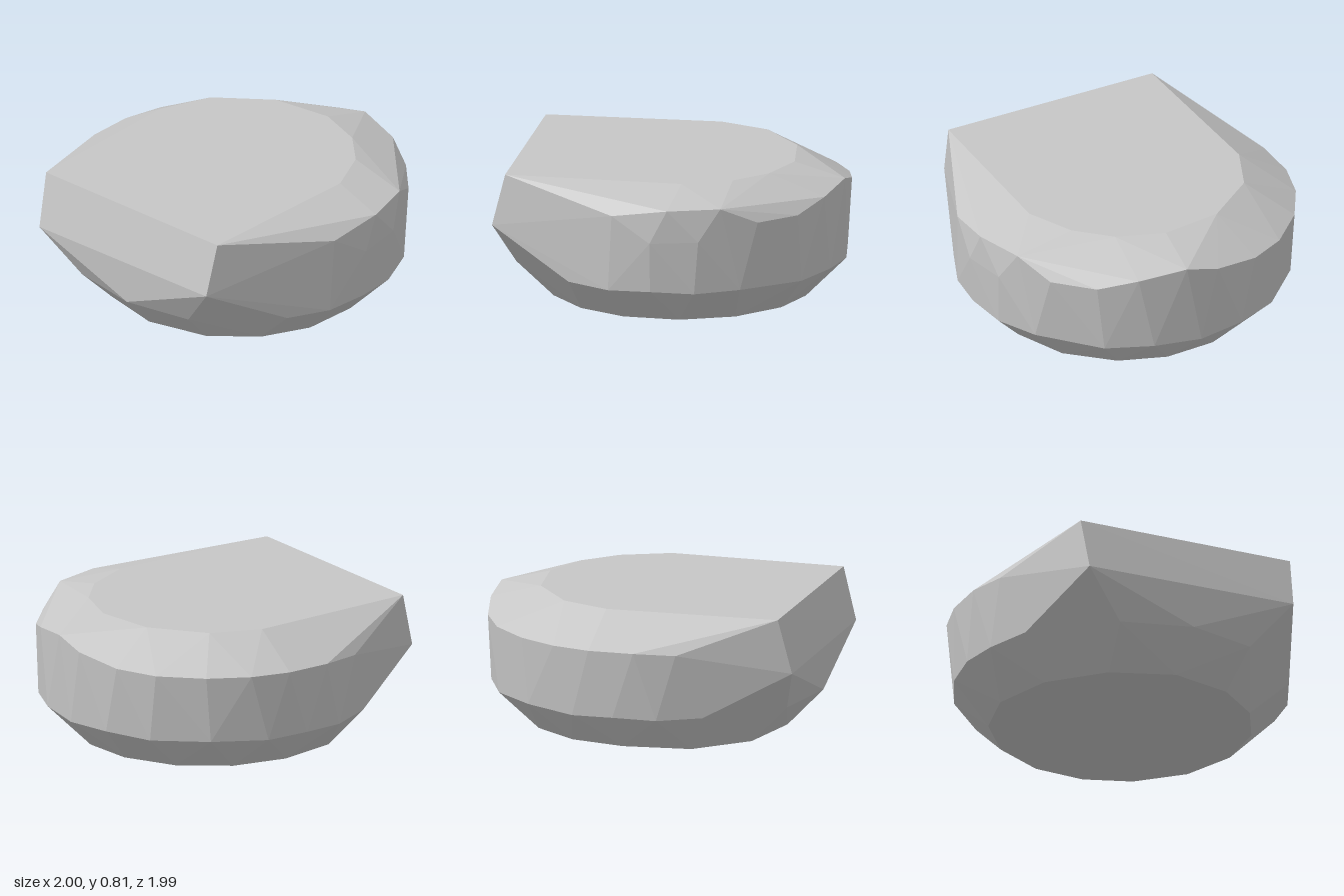
import * as THREE from 'three';
import { ConvexGeometry } from 'three/addons/geometries/ConvexGeometry.js';

// Horizontal ring of points; angles in degrees from the front, toward +x
function ring(angles, radius, height) {
  return angles.map((deg, i) => {
    const a = THREE.MathUtils.degToRad(deg);
    return new THREE.Vector3(Math.sin(a) * radius, height(i), Math.cos(a) * radius);
  });
}

export function createModel() {
  const group = new THREE.Group();
  group.name = 'rock';
  const stone = new THREE.MeshStandardMaterial({ color: 0xc6c6c6 });
  stone.name = 'light stone grey';

  // Underside and the widest ring above it
  const base = ring([0, 28, 52, 75, 100, 125, 150, 172, 195, 220, 245, 270, 300, 330],
    0.768, (i) => (i > 11 ? 0 : 0.015));
  const belt = ring([1, 25, 59, 75, 90, 105, 121, 146, 163, 180, 197, 214, 235, 255, 270, 285, 301, 335],
    0.98, (i) => (i % 2 ? 0.225 : 0.235));

  // Uneven shoulder, from the left front round the back to the right front
  const shoulder = [
    [0.96, 0.675, 0.23], [1, 0.53, 0], [0.985, 0.725, -0.1], [0.96, 0.54, -0.28],
    [0.9, 0.73, -0.4], [0.79, 0.63, -0.6], [0.59, 0.63, -0.8], [0.38, 0.69, -0.92],
    [0.1, 0.73, -0.99], [-0.1, 0.68, -0.995], [-0.38, 0.64, -0.93], [-0.6, 0.63, -0.81],
    [-0.81, 0.63, -0.6], [-0.94, 0.63, -0.37], [-1, 0.63, -0.14], [-1, 0.63, 0.13],
    [-0.94, 0.62, 0.37],
  ];

  // Flat top outline
  const top = [
    [0.66, 0.81, 0.91], [0.68, 0.81, -0.13], [0.55, 0.81, -0.41], [0.36, 0.81, -0.59],
    [0.08, 0.81, -0.69], [-0.28, 0.81, -0.64], [-0.58, 0.81, -0.41], [-0.7, 0.81, -0.12],
    [-0.675, 0.81, 0.91],
  ];

  // Lower corners of the cut front face
  const front = [[0.645, 0.5, 0.99], [-0.655, 0.49, 0.99]];

  const points = [...shoulder, ...top, ...front].map((p) => new THREE.Vector3(...p));
  const mesh = new THREE.Mesh(new ConvexGeometry([...base, ...belt, ...points]), stone);
  mesh.name = 'boulder';
  group.add(mesh);
  return group;
}
